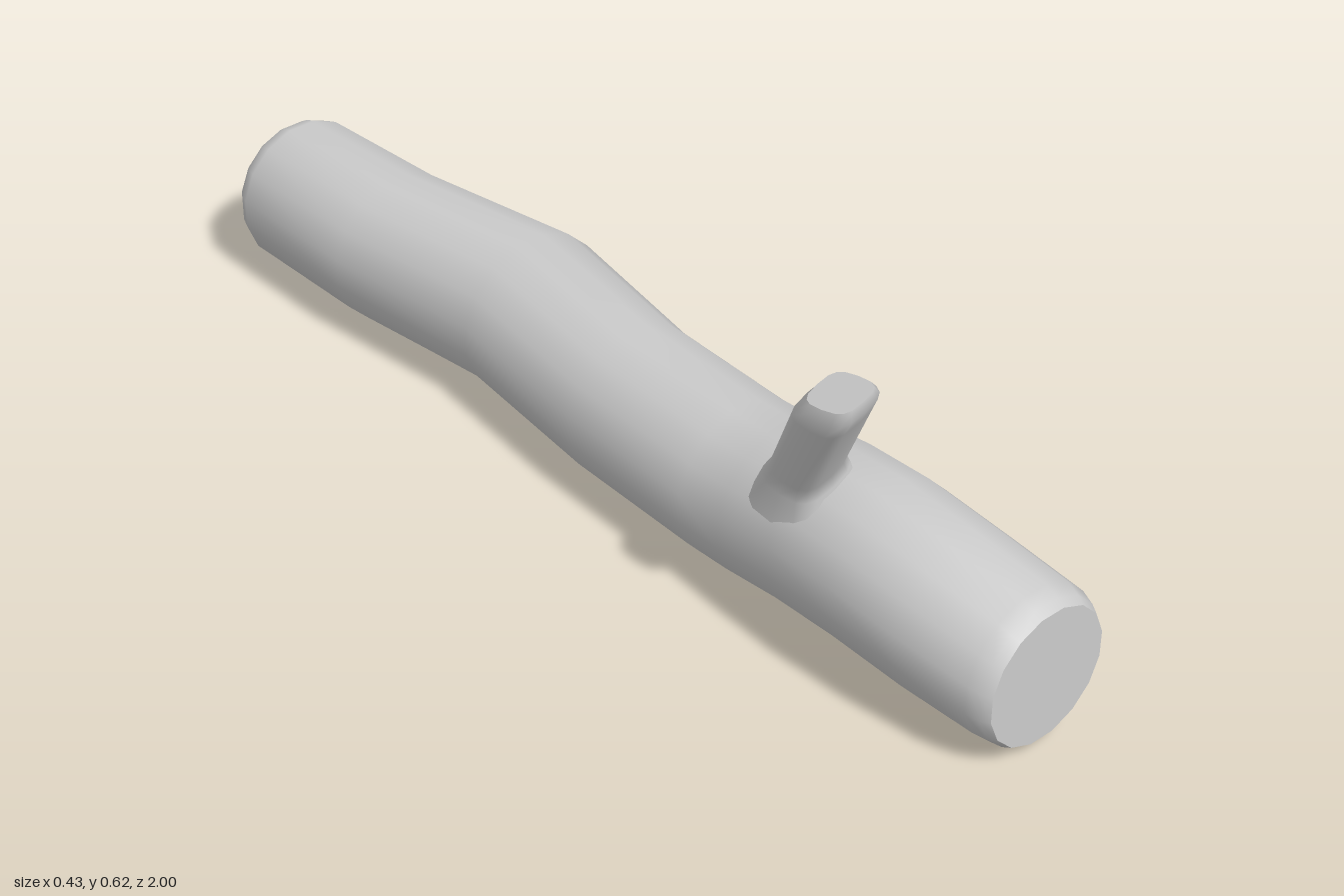
import * as THREE from 'three';

const V = (x, y, z) => new THREE.Vector3(x, y, z);
const material = new THREE.MeshStandardMaterial({ color: 0xcccccc });

// Point on a rounded outline: power 1 is an ellipse, smaller is boxier
function outline({ c, u, v, power = 1 }, a) {
  const soft = (t) => Math.sign(t) * Math.pow(Math.abs(t), power);
  return c.clone().addScaledVector(u, soft(Math.cos(a))).addScaledVector(v, soft(Math.sin(a)));
}

// Smooth skin through a row of rings (advancing along u x v), with flat end caps
function loft(name, rings, sides, turn = 0) {
  const pos = [], index = [];
  const addRing = (ring) => {
    const start = pos.length / 3;
    for (let j = 0; j < sides; j++) pos.push(...outline(ring, turn + (j / sides) * Math.PI * 2).toArray());
    return start;
  };
  rings.forEach((ring, i) => {
    const b = addRing(ring), a = b - sides;
    if (i === 0) return;
    for (let j = 0; j < sides; j++) {
      const k = (j + 1) % sides;
      index.push(a + j, a + k, b + k, a + j, b + k, b + j);
    }
  });
  // Caps own their vertices so the end edge stays crisp
  [rings[0], rings[rings.length - 1]].forEach((ring, end) => {
    const s = addRing(ring);
    for (let j = 1; j < sides - 1; j++) {
      if (end) index.push(s, s + j, s + j + 1);
      else index.push(s, s + j + 1, s + j);
    }
  });
  const geo = new THREE.BufferGeometry();
  geo.setAttribute('position', new THREE.Float32BufferAttribute(pos, 3));
  geo.setIndex(index);
  geo.computeVertexNormals();
  const mesh = new THREE.Mesh(geo, material);
  mesh.name = name;
  return mesh;
}

export function createModel() {
  const group = new THREE.Group();
  group.name = 'log';

  // Crooked trunk: z, centre x, centre y, radius x, radius y
  const trunk = [
    [-1, 0.005, 0.15, 0.128, 0.128],
    [-0.985, 0.004, 0.15, 0.137, 0.137],
    [-0.96, 0.002, 0.15, 0.145, 0.146],
    [-0.67, 0.01, 0.152, 0.15, 0.151],
    [-0.33, 0.057, 0.155, 0.161, 0.155],
    [0, 0.013, 0.151, 0.15, 0.15],
    [0.3, 0.001, 0.154, 0.148, 0.151],
    [0.4, -0.004, 0.163, 0.148, 0.152],
    [0.53, -0.013, 0.186, 0.149, 0.154],
    [0.67, -0.019, 0.196, 0.15, 0.154],
    [0.82, -0.013, 0.18, 0.149, 0.15],
    [0.96, 0.003, 0.157, 0.144, 0.143],
    [0.985, 0.004, 0.152, 0.137, 0.136],
    [1, 0.005, 0.15, 0.128, 0.128],
  ].map(([z, x, y, rx, ry]) => ({ c: V(x, y, z), u: V(rx, 0, 0), v: V(0, ry, 0) }));
  group.add(loft('trunk', trunk, 16, Math.PI / 16));

  // Leaning branch stub, flared at the root: centre x, y, z, half width, half depth, tilt
  const branch = [
    [-0.068, 0.28, 0.52, 0.08, 0.085, 0],
    [-0.078, 0.335, 0.53, 0.064, 0.066, 0],
    [-0.089, 0.365, 0.545, 0.056, 0.056, 0],
    [-0.153, 0.56, 0.66, 0.057, 0.058, 0.05],
    [-0.162, 0.588, 0.68, 0.053, 0.058, 0.15],
    [-0.166, 0.607, 0.686, 0.041, 0.05, 0.2],
  ].map(([x, y, z, w, d, tilt]) => ({
    c: V(x, y, z), u: V(0.94 * w, 0.34 * w, 0), v: V(0, -tilt * d, -d), power: 0.62,
  }));
  group.add(loft('branch', branch, 16));

  return group;
}
